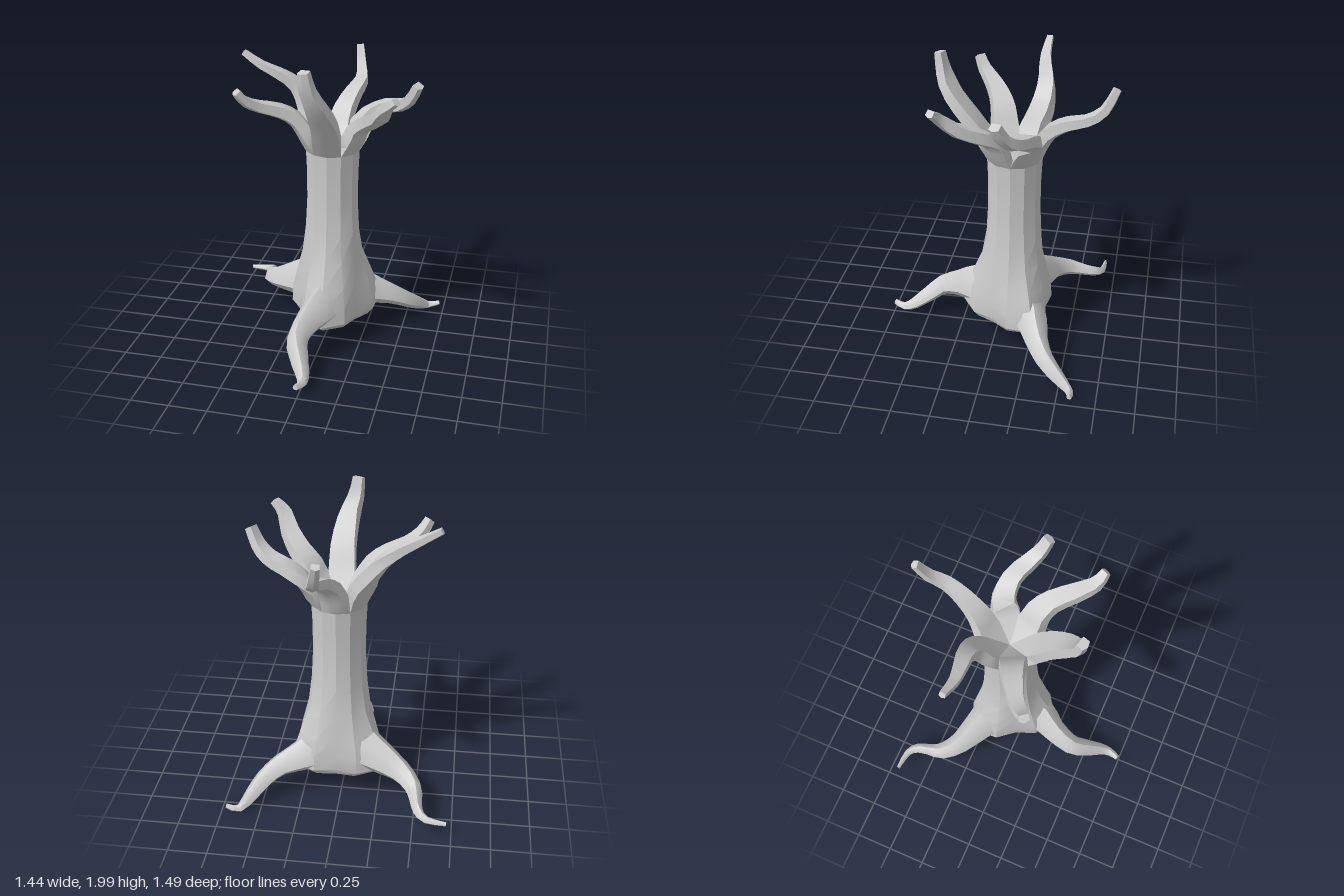
import * as THREE from 'three';
import { toCreasedNormals } from 'three/addons/utils/BufferGeometryUtils.js';

const CX = 0.03, CZ = -0.11;   // trunk axis
const RAD = Math.PI / 180;
const material = new THREE.MeshStandardMaterial({ color: 0xcccccc });

// Point at an angle (0 = front, counting towards +x) around the trunk axis
const polar = (deg, r, y) =>
  new THREE.Vector3(CX + r * Math.sin(deg * RAD), y, CZ + r * Math.cos(deg * RAD));

// Skin a list of equal-length rings and close both ends
function loft(rings, crease) {
  const n = rings[0].length, last = (rings.length - 1) * n, index = [];
  for (let i = 0; i < rings.length - 1; i++) {
    for (let j = 0; j < n; j++) {
      const a = i * n + j, b = i * n + (j + 1) % n;
      index.push(a, b, b + n, a, b + n, a + n);
    }
  }
  for (let j = 1; j < n - 1; j++) {
    index.push(0, j + 1, j, last, last + j, last + j + 1);
  }
  const geometry = new THREE.BufferGeometry().setFromPoints(rings.flat());
  geometry.setIndex(index);
  return toCreasedNormals(geometry, crease);
}

// Rings along a smoothly curved limb; each row is x, y, z, half width, half height
function limbRings(rows, section) {
  const spine = new THREE.CatmullRomCurve3(
    rows.map(r => new THREE.Vector3(r[0], r[1], r[2])), false, 'catmullrom');
  const size = new THREE.CatmullRomCurve3(
    rows.map(r => new THREE.Vector3(r[3], r[4], 0)), false, 'catmullrom');
  const steps = (rows.length - 1) * 2;
  return Array.from({ length: steps + 1 }, (_, i) => {
    const p = spine.getPoint(i / steps), t = spine.getTangent(i / steps);
    const { x: w, y: h } = size.getPoint(i / steps);
    // sideways axis follows the limb, steadied by the outward direction
    const out = new THREE.Vector3(p.x - CX, 0, p.z - CZ).normalize();
    const dir = t.clone().addScaledVector(out, 0.4).setY(0).normalize();
    const side = new THREE.Vector3(dir.z, 0, -dir.x);
    side.addScaledVector(t, -side.dot(t)).normalize();
    const up = t.clone().cross(side);
    return section.map(([s, u]) =>
      p.clone().addScaledVector(side, s * w).addScaledVector(up, u * h));
  });
}

const ROOT_SECTION = [[1, -0.3], [0.65, 0.6], [0, 1], [-0.65, 0.6], [-1, -0.3], [-0.6, -0.85], [0.6, -0.85]];
const BRANCH_SECTION = [[1, -0.55], [0.92, 0.9], [-0.92, 0.9], [-1, -0.55], [0, -1]];

const ROOTS = {
  frontRoot: [
    [0.03, 0.36, 0.0, 0.15, 0.18], [0.01, 0.335, 0.13, 0.12, 0.145], [-0.05, 0.285, 0.26, 0.085, 0.1],
    [-0.085, 0.23, 0.4, 0.072, 0.07], [-0.05, 0.165, 0.5, 0.062, 0.055], [0.0, 0.1, 0.6, 0.045, 0.04],
    [0.015, 0.075, 0.67, 0.03, 0.026], [-0.01, 0.085, 0.74, 0.018, 0.02]],
  backLeftRoot: [
    [0.12, 0.33, -0.19, 0.15, 0.16], [0.25, 0.285, -0.27, 0.11, 0.11], [0.4, 0.225, -0.33, 0.078, 0.07],
    [0.5, 0.155, -0.4, 0.065, 0.055], [0.57, 0.085, -0.49, 0.05, 0.045], [0.635, 0.03, -0.575, 0.028, 0.026],
    [0.72, 0.05, -0.585, 0.015, 0.015]],
  backRightRoot: [
    [-0.1, 0.36, -0.19, 0.15, 0.17], [-0.25, 0.31, -0.26, 0.11, 0.12], [-0.4, 0.255, -0.335, 0.078, 0.075],
    [-0.49, 0.21, -0.43, 0.06, 0.055], [-0.515, 0.18, -0.53, 0.04, 0.042], [-0.535, 0.16, -0.61, 0.034, 0.034],
    [-0.59, 0.135, -0.665, 0.024, 0.024], [-0.715, 0.125, -0.68, 0.012, 0.015]],
};

// Ordered around the crown in 60 degree sectors, starting at the front
const BRANCHES = {
  frontBranch: [
    [0.035, 1.46, 0.07, 0.09, 0.055], [0.04, 1.6, 0.17, 0.082, 0.05], [0.02, 1.74, 0.28, 0.068, 0.045],
    [-0.02, 1.87, 0.345, 0.048, 0.04], [-0.035, 1.995, 0.37, 0.034, 0.03]],
  frontLeftBranch: [
    [0.18, 1.45, -0.025, 0.09, 0.055], [0.23, 1.55, 0.0, 0.08, 0.05], [0.3, 1.61, 0.06, 0.066, 0.048],
    [0.38, 1.68, 0.18, 0.055, 0.042], [0.43, 1.77, 0.27, 0.042, 0.035], [0.5, 1.835, 0.305, 0.027, 0.025]],
  backLeftBranch: [
    [0.18, 1.45, -0.2, 0.09, 0.055], [0.23, 1.55, -0.235, 0.075, 0.05], [0.34, 1.625, -0.225, 0.06, 0.045],
    [0.45, 1.66, -0.17, 0.052, 0.04], [0.525, 1.72, -0.12, 0.043, 0.036], [0.575, 1.82, -0.085, 0.035, 0.03]],
  backBranch: [
    [0.04, 1.45, -0.27, 0.085, 0.05], [0.065, 1.56, -0.33, 0.068, 0.048], [0.1, 1.64, -0.44, 0.053, 0.042],
    [0.125, 1.685, -0.56, 0.042, 0.036], [0.105, 1.75, -0.66, 0.034, 0.032], [0.08, 1.885, -0.725, 0.025, 0.025]],
  backRightBranch: [
    [-0.11, 1.46, -0.2, 0.09, 0.055], [-0.17, 1.6, -0.25, 0.072, 0.055], [-0.25, 1.715, -0.26, 0.055, 0.045],
    [-0.36, 1.79, -0.24, 0.044, 0.036], [-0.47, 1.845, -0.225, 0.032, 0.027], [-0.59, 1.92, -0.235, 0.02, 0.02]],
  frontRightBranch: [
    [-0.11, 1.45, -0.025, 0.09, 0.055], [-0.18, 1.57, 0.0, 0.078, 0.05], [-0.27, 1.635, 0.045, 0.063, 0.045],
    [-0.38, 1.675, 0.11, 0.05, 0.038], [-0.455, 1.725, 0.175, 0.038, 0.033], [-0.5, 1.795, 0.215, 0.03, 0.027]],
};

export function createModel() {
  const model = new THREE.Group();
  model.name = 'bareTree';
  const add = (name, geometry) => {
    const mesh = new THREE.Mesh(geometry, material);
    mesh.name = name;
    model.add(mesh);
  };

  // Trunk: twelve-sided rings of height, radius, and flare towards the roots
  const trunkRows = [
    [0.15, 0.12, 0.06], [0.17, 0.205, 0.09], [0.21, 0.222, 0.12], [0.32, 0.222, 0.11], [0.45, 0.212, 0.07],
    [0.62, 0.197, 0.015], [0.8, 0.182, 0], [1, 0.171, 0], [1.2, 0.171, 0], [1.36, 0.178, 0]];
  add('trunk', loft(trunkRows.map(([y, r, flare]) =>
    Array.from({ length: 12 }, (_, k) => {
      const lobe = (1 + Math.cos(3 * k * 30 * RAD)) / 2;
      return polar(k * 30, r + flare * lobe, y);
    })), 0.5));

  // Roots curl out from the flared base
  for (const [name, rows] of Object.entries(ROOTS)) {
    add(name, loft(limbRings(rows, ROOT_SECTION), 0.75));
  }

  // Branches: each grows from a wedge of the trunk top
  Object.entries(BRANCHES).forEach(([name, rows], k) => {
    const a = k * 60, y = 1.36;
    const wedge = [polar(a + 30, 0.178, y), polar(a + 60, 0.004, y), polar(a - 60, 0.004, y),
      polar(a - 30, 0.178, y), polar(a, 0.178, y)];
    add(name, loft([wedge, ...limbRings(rows, BRANCH_SECTION)], 0.65));
  });

  return model;
}
